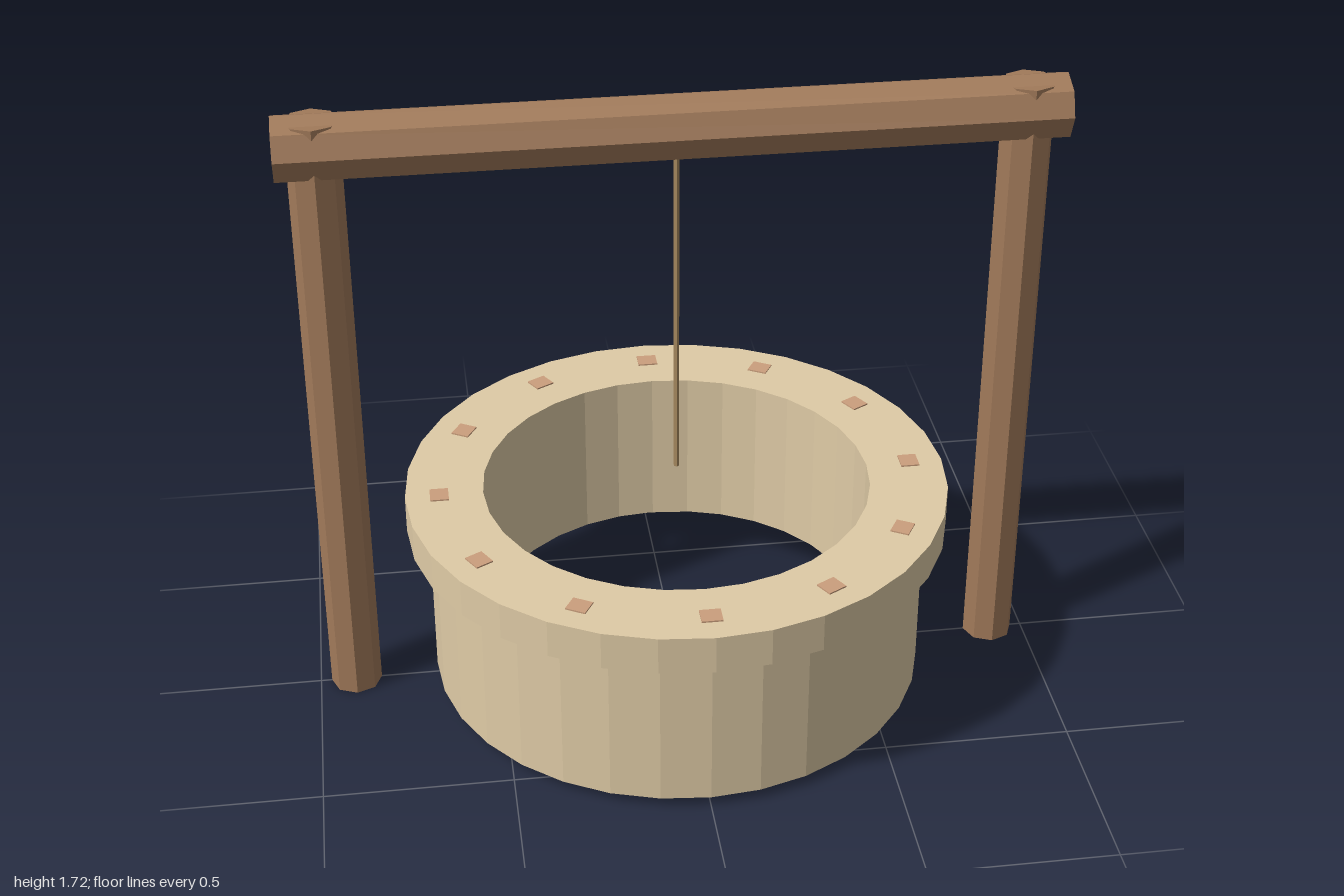
import * as THREE from 'three';

const material = (color, side = THREE.FrontSide) =>
  new THREE.MeshStandardMaterial({ color, side, flatShading: true });

export function createModel() {
  const group = new THREE.Group();
  const stone = material(0xdfcba6, THREE.DoubleSide);
  const wood = material(0xa17a5a);
  const pegWood = material(0xcb9f7d);
  const rope = material(0xa88a60);

  const add = (name, geometry, mat, x, y, z) => {
    const mesh = new THREE.Mesh(geometry, mat);
    mesh.name = name;
    mesh.position.set(x, y, z);
    group.add(mesh);
    return mesh;
  };

  // Hollow well: outer wall, overhanging rim and inner lining, open below
  const profile = [
    [0.675, 0.03], [0.675, 0.48], [0.735, 0.48],
    [0.735, 0.585], [0.525, 0.585], [0.525, 0.13],
  ].map(([r, y]) => new THREE.Vector2(r, y));
  add('wellWall', new THREE.LatheGeometry(profile, 32), stone, 0, 0, 0);

  // Twelve square pegs run down through the rim, just showing on top
  const pegGeometry = new THREE.BoxGeometry(0.055, 0.378, 0.05);
  for (let i = 0; i < 12; i++) {
    const a = (i / 12) * Math.PI * 2;
    const peg = add('rimPeg', pegGeometry, pegWood,
      Math.sin(a) * 0.643, 0.4, Math.cos(a) * 0.643);
    peg.rotation.y = a;
  }

  // Octagonal posts, their tops poking through the crossbeam
  const postGeometry = new THREE.CylinderGeometry(0.069, 0.069, 1.7, 8);
  for (const side of [1, -1]) {
    add(side > 0 ? 'leftPost' : 'rightPost', postGeometry, wood, side * 0.901, 0.85, 0);
  }

  // Crossbeam lying along x
  const beam = add('crossbeam', new THREE.CylinderGeometry(0.088, 0.088, 2, 8),
    wood, 0, 1.628, 0);
  beam.rotation.z = Math.PI / 2;

  // Rope hanging from the beam
  add('rope', new THREE.CylinderGeometry(0.008, 0.008, 0.97, 6), rope, 0, 1.112, 0);

  return group;
}
